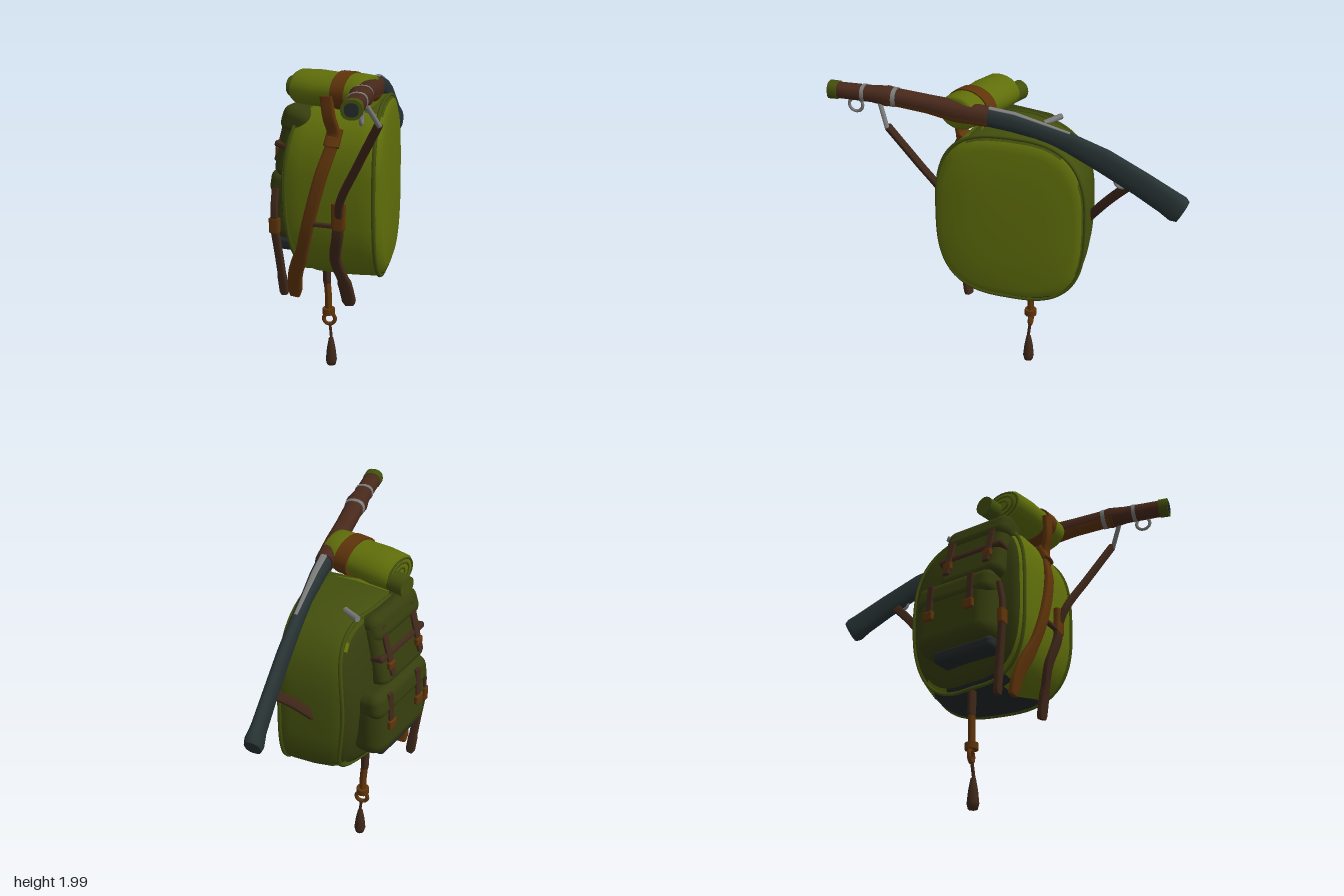
import * as THREE from 'three';
import { RoundedBoxGeometry } from 'three/addons/geometries/RoundedBoxGeometry.js';

const V = (x, y, z) => new THREE.Vector3(x, y, z);
const mat = (name, color) => Object.assign(new THREE.MeshStandardMaterial({ color }), { name });

export function createModel() {
  const model = new THREE.Group();
  const olive = mat('olive canvas', 0x606f0a);
  const midOlive = mat('shaded canvas', 0x434f0d);
  const darkOlive = mat('dark canvas', 0x363d0e);
  const charcoal = mat('charcoal base', 0x23282a);
  const leather = mat('leather', 0x5f340a);
  const brown = mat('dark leather', 0x40281a);
  const wood = mat('wood', 0x48291b);
  const gunDark = mat('blued stock', 0x273233);
  const metal = mat('grey metal', 0x7a7a7a);

  function add(name, geo, m, parent = model) {
    const mesh = new THREE.Mesh(geo, m);
    mesh.name = name;
    parent.add(mesh);
    return mesh;
  }

  // Skin closed rings; faces are turned outward and grouped by the pick rule
  function loft(rings, pick = () => 0, groupCount = 1) {
    const n = rings[0].length, pts = rings.flat(), lists = Array.from({ length: groupCount }, () => []);
    const tris = [];
    for (let k = 0; k < rings.length - 1; k++) {
      for (let i = 0; i < n; i++) {
        const a = k * n + i, b = k * n + (i + 1) % n;
        tris.push([a, b, a + n], [b, b + n, a + n]);
      }
    }
    const mid = pts.reduce((s, p) => s.add(p), V(0, 0, 0)).divideScalar(pts.length);
    let volume = 0;
    for (const [a, b, c] of tris) {
      const q = [a, b, c].map(i => pts[i].clone().sub(mid));
      volume += q[0].dot(q[1].cross(q[2]));
    }
    for (const [a, b, c] of tris) {
      const f = volume > 0 ? [a, b, c] : [a, c, b];
      const nrm = pts[f[1]].clone().sub(pts[f[0]]).cross(pts[f[2]].clone().sub(pts[f[0]]));
      if (nrm.length() > 1e-9) lists[pick(nrm.normalize())].push(...f);
    }
    const geo = new THREE.BufferGeometry().setFromPoints(pts);
    geo.setIndex(lists.flat());
    let start = 0;
    lists.forEach((l, i) => { geo.addGroup(start, l.length, i); start += l.length; });
    geo.computeVertexNormals();
    return geo;
  }

  const pow = (v, e) => Math.sign(v) * Math.abs(v) ** e;

  // Sweep a rounded section along a path; stations are [point, half width, half thickness]
  function sweep(stations, normal, p = 4, n = 12, ...groups) {
    const rings = stations.map(([c, w, h], k) => {
      const prev = stations[Math.max(k - 1, 0)][0], next = stations[Math.min(k + 1, stations.length - 1)][0];
      const side = next.clone().sub(prev).cross(normal).normalize();
      const out = side.clone().cross(next.clone().sub(prev)).normalize();
      return Array.from({ length: n }, (_, i) => {
        const a = i / n * Math.PI * 2 + 0.26;
        return c.clone().addScaledVector(side, w * pow(Math.cos(a), 2 / p)).addScaledVector(out, h * pow(Math.sin(a), 2 / p));
      });
    });
    const cap = k => Array(n).fill(stations[k][0]);
    const last = rings.length - 1;
    return loft([cap(0), rings[0], ...rings, rings[last], cap(last)], ...groups);
  }

  function strap(name, points, width, normal, m, thick = 0.014, flare = 1) {
    const curve = new THREE.CatmullRomCurve3(points), stations = [];
    for (let i = 0; i <= 24; i++) {
      const w = i > 17 ? width * flare : width;
      stations.push([curve.getPoint(i / 24), i === 24 ? w * 0.7 : w, thick]);
    }
    return add(name, sweep(stations, normal), m);
  }

  function rod(name, a, b, r, m, n = 16) {
    const d = b.clone().sub(a), mesh = add(name, new THREE.CylinderGeometry(r, r, d.length(), n), m);
    mesh.position.copy(a).lerp(b, 0.5);
    mesh.quaternion.setFromUnitVectors(V(0, 1, 0), d.normalize());
    return mesh;
  }

  // Pack body: wedge in plan, thinner toward its top and bottom
  const A = V(-0.305, 0, -0.435), B = V(0.35, 0, 0.25), C = V(-0.2, 0, 0.605), D = V(-0.59, 0, -0.115);
  const P = 2.9, midY = 1.24, halfY = 0.54;
  const place = (s, t, y) => {
    const thin = t * (1 - (0.1 + 0.18 * Math.max(-s, 0)) * ((y - midY) / halfY) ** 2);
    const p = A.clone().lerp(B, (s + 1) / 2).lerp(D.clone().lerp(C, (s + 1) / 2), thin);
    p.y = y;
    return p;
  };
  const bodyRing = (t, k, n = 40) => Array.from({ length: n }, (_, i) => {
    const a = i / n * Math.PI * 2;
    return place(k * pow(Math.cos(a), 2 / P), t, midY + k * halfY * pow(Math.sin(a), 2 / P));
  });
  const ends = [[-0.03, 0], [-0.03, 0.5], [-0.01, 0.85], [0.03, 0.95], [0.1, 0.99], [0.22, 1], [0.5, 1.01],
    [0.78, 1], [0.9, 0.97], [0.96, 0.92], [1, 0.82], [1.02, 0.5], [1.02, 0]];
  const frontDir = V(-0.88, 0, 0.48), leftDir = V(-0.75, 0, -0.66), sideN = V(0.54, 0, 0.84);
  const pick = n => {
    const onSideFace = n.dot(sideN) > 0.35;
    if (n.y > 0.6 && !onSideFace) return 1;
    if (n.y < -0.7 && !onSideFace) return 3;
    return n.dot(frontDir) > 0.75 ? 2 : n.dot(leftDir) > 0.75 ? 1 : 0;
  };
  add('packBody', loft(ends.map(e => bodyRing(...e)), pick, 4), [olive, midOlive, darkOlive, charcoal]);
  for (const [name, t, k] of [['backPiping', 0.07, 0.985], ['frontPiping', 0.92, 0.965]]) {
    const curve = new THREE.CatmullRomCurve3(bodyRing(t, k, 32), true);
    add(name, new THREE.TubeGeometry(curve, 80, 0.012, 6, true), midOlive);
  }

  // Pockets on the front face
  const pockets = new THREE.Group();
  pockets.name = 'frontPockets';
  pockets.position.set(-0.37, 0, 0.21);
  pockets.rotation.y = -1.07;
  model.add(pockets);
  function box(name, w, h, d, x, y, z, m, r = 0.04, tilt = 0) {
    const mesh = add(name, new RoundedBoxGeometry(w, h, d, 3, Math.min(r, d * 0.45)), m, pockets);
    mesh.position.set(x, y, z);
    mesh.rotation.x = tilt;
  }
  box('lowerPocket', 0.55, 0.4, 0.24, 0.01, 1.1, 0.055, darkOlive, 0.1, -0.06);
  box('lowerPocketFlap', 0.55, 0.17, 0.25, 0.01, 1.26, 0.045, darkOlive, 0.06, -0.18);
  box('pocketBase', 0.42, 0.08, 0.2, 0.06, 0.89, 0.03, charcoal, 0.03);
  box('upperPocket', 0.45, 0.42, 0.17, 0.09, 1.52, 0.0, darkOlive, 0.06, -0.24);
  box('upperPocketFlap', 0.46, 0.17, 0.19, 0.1, 1.67, -0.035, darkOlive, 0.06, -0.34);
  box('upperPocketBelt', 0.46, 0.04, 0.18, 0.09, 1.51, 0.01, brown, 0.015, -0.24);
  for (const x of [-0.14, 0.15]) {
    box('lowerPocketStrap', 0.045, 0.24, 0.02, x, 1.22, 0.17, brown, 0.008, -0.08);
    box('lowerPocketBuckle', 0.07, 0.06, 0.03, x, 1.13, 0.18, leather, 0.01);
    box('upperPocketStrap', 0.045, 0.32, 0.02, x + 0.08, 1.56, 0.085, brown, 0.008, -0.28);
    box('upperPocketBuckle', 0.06, 0.05, 0.03, x + 0.08, 1.47, 0.11, leather, 0.01);
  }

  // Bedroll with end spirals, band and a smaller roll beside it
  const roll = new THREE.Group();
  roll.name = 'bedroll';
  roll.position.set(-0.01, 1.87, 0.295);
  roll.rotation.y = 0.45;
  roll.scale.z = 1.35;
  model.add(roll);
  const profile = [[0, -0.24], [0.08, -0.24], [0.1, -0.225], [0.105, -0.1], [0.1, 0], [0.105, 0.15], [0.1, 0.225], [0.08, 0.24], [0, 0.24]];
  add('rolledBlanket', new THREE.LatheGeometry(profile.map(p => new THREE.Vector2(...p)), 24), olive, roll).rotation.z = -Math.PI / 2;
  for (const r of [0.03, 0.06, 0.085]) {
    const ring = add('rollSpiral', new THREE.TorusGeometry(r, 0.006, 5, 24), midOlive, roll);
    ring.rotation.y = Math.PI / 2;
    ring.position.x = -0.24;
  }
  const band = add('bedrollBand', new THREE.CylinderGeometry(0.111, 0.111, 0.085, 24), leather, roll);
  band.rotation.z = Math.PI / 2;
  band.position.x = 0.08;
  rod('smallRoll', V(-0.34, 1.85, 0.38), V(-0.2, 1.85, 0.32), 0.06, midOlive);
  rod('metalPin', V(-0.42, 1.785, 0.03), V(-0.29, 1.77, 0.02), 0.018, metal, 8);

  // Long straps lying on the side face, with loose tails
  const onSide = (t, y) => {
    const s = (1 - Math.min(Math.abs((y - midY) / halfY), 1) ** P) ** (1 / P);
    return place(s, t, y).addScaledVector(sideN, 0.02);
  };
  strap('bedrollStrap', [V(0.07, 1.86, 0.42), V(0.08, 1.74, 0.41), onSide(0.47, 1.62), onSide(0.55, 1.4), onSide(0.68, 1.1),
    onSide(0.8, 0.9), V(-0.16, 0.75, 0.5), V(-0.2, 0.59, 0.48)], 0.038, sideN, leather, 0.018, 1.2);
  strap('slingFront', [V(0.54, 1.78, 0.41), V(0.35, 1.5, 0.42), V(0.19, 1.26, 0.42), onSide(0.38, 1.15)], 0.024, sideN, brown, 0.016);
  strap('slingTail', [onSide(0.38, 1.22), onSide(0.4, 1.05), onSide(0.46, 0.88), V(0.09, 0.72, 0.32), V(0.09, 0.57, 0.28)],
    0.034, sideN, brown, 0.018, 1.25);
  strap('slingKeeper', [onSide(0.38, 1.24), onSide(0.39, 1.08)], 0.042, sideN, leather, 0.02);
  strap('sideBelt', [onSide(0.38, 1.1), onSide(0.68, 1.1)], 0.013, sideN, brown);
  strap('strapBuckle', [onSide(0.47, 1.66), onSide(0.48, 1.56)], 0.046, sideN, leather, 0.024);
  strap('pocketStrap', [V(-0.31, 1.25, 0.53), V(-0.3, 1.13, 0.55), V(-0.3, 0.97, 0.55)], 0.022, sideN, brown);
  strap('pocketStrapEnd', [V(-0.3, 1.07, 0.55), V(-0.3, 0.98, 0.55)], 0.034, sideN, leather, 0.022);
  strap('pocketTail', [V(-0.3, 1.0, 0.55), V(-0.3, 0.8, 0.52), V(-0.3, 0.57, 0.49)], 0.025, sideN, brown, 0.018, 1.15);
  strap('slingRear', [V(-0.54, 1.54, -0.53), V(-0.49, 1.4, -0.4), V(-0.44, 1.22, -0.25)], 0.028, V(0.7, 0, -0.7), brown);

  // Hanging cord with ring and tassel
  strap('hangingCord', [V(-0.3, 0.95, 0.17), V(-0.305, 0.75, 0.17), V(-0.305, 0.56, 0.165)], 0.024, V(0, 0, 1), brown, 0.02);
  strap('cordEnd', [V(-0.305, 0.58, 0.165), V(-0.3, 0.47, 0.16), V(-0.3, 0.38, 0.16)], 0.019, V(0, 0, 1), leather, 0.019);
  rod('cordKnot', V(-0.3, 0.355, 0.16), V(-0.3, 0.395, 0.16), 0.04, leather, 10);
  const ring = add('cordRing', new THREE.TorusGeometry(0.036, 0.013, 8, 20), leather);
  ring.position.set(-0.3, 0.32, 0.155);
  ring.rotation.y = 0.8;
  rod('tasselCord', V(-0.295, 0.29, 0.155), V(-0.28, 0.18, 0.155), 0.01, brown, 6);
  const tassel = [[0, 0], [0.028, 0.008], [0.036, 0.04], [0.028, 0.12], [0.015, 0.19], [0, 0.2]];
  add('tassel', new THREE.LatheGeometry(tassel.map(p => new THREE.Vector2(...p)), 12), brown).position.set(-0.285, 0, 0.155);

  // Long gun lying diagonally over the pack; stations are [t, y, half height, half width]
  const across = V(Math.SQRT1_2, 0, -Math.SQRT1_2);
  const gun = (name, list, m, ...groups) =>
    add(name, sweep(list.map(([t, y, h, w]) => [V(t, y, t), h, w]), across, 2.4, 20, ...groups), m);
  gun('gunStock', [[0.1, 1.875, 0.056, 0.045], [-0.04, 1.85, 0.056, 0.04], [-0.15, 1.815, 0.05, 0.032], [-0.28, 1.76, 0.06, 0.033],
    [-0.42, 1.675, 0.074, 0.034], [-0.58, 1.555, 0.078, 0.035], [-0.69, 1.465, 0.082, 0.038], [-0.735, 1.425, 0.086, 0.05], [-0.755, 1.41, 0.072, 0.045]], gunDark);
  const underside = n => n.y < -0.25 ? 1 : 0;
  gun('foreEnd', [[0.06, 1.87, 0.06, 0.054], [0.2, 1.885, 0.064, 0.06], [0.32, 1.91, 0.054, 0.054], [0.45, 1.93, 0.052, 0.056],
    [0.5, 1.935, 0.058, 0.066]], [wood, leather], underside, 2);
  gun('barrelShroud', [[0.49, 1.934, 0.058, 0.066], [0.56, 1.938, 0.048, 0.053], [0.71, 1.94, 0.046, 0.053]], wood);
  gun('muzzleCap', [[0.71, 1.94, 0.052, 0.057], [0.75, 1.94, 0.053, 0.057]], midOlive);
  gun('muzzleBore', [[0.745, 1.94, 0.036, 0.038], [0.753, 1.94, 0.036, 0.038]], charcoal);
  gun('frontBand', [[0.59, 1.939, 0.05, 0.057], [0.606, 1.939, 0.05, 0.057]], metal);
  gun('rearBand', [[0.452, 1.931, 0.056, 0.06], [0.47, 1.932, 0.056, 0.063]], metal);
  gun('receiverPlate', [[0.06, 1.924, 0.006, 0.02], [-0.05, 1.906, 0.006, 0.018], [-0.18, 1.858, 0.006, 0.013], [-0.28, 1.82, 0.006, 0.01]], metal);

  // Sling fittings
  for (const [x, y, z, r] of [[0.65, 1.872, 0.61, 0.042], [-0.5, 1.555, -0.5, 0.038]]) {
    const swivel = add('slingSwivel', new THREE.TorusGeometry(r, 0.01, 6, 20), metal);
    swivel.position.set(x, y, z);
    swivel.rotation.y = -Math.PI / 4;
  }
  rod('slingHook', V(0.545, 1.9, 0.5), V(0.545, 1.77, 0.41), 0.015, metal, 8);
  return model;
}
